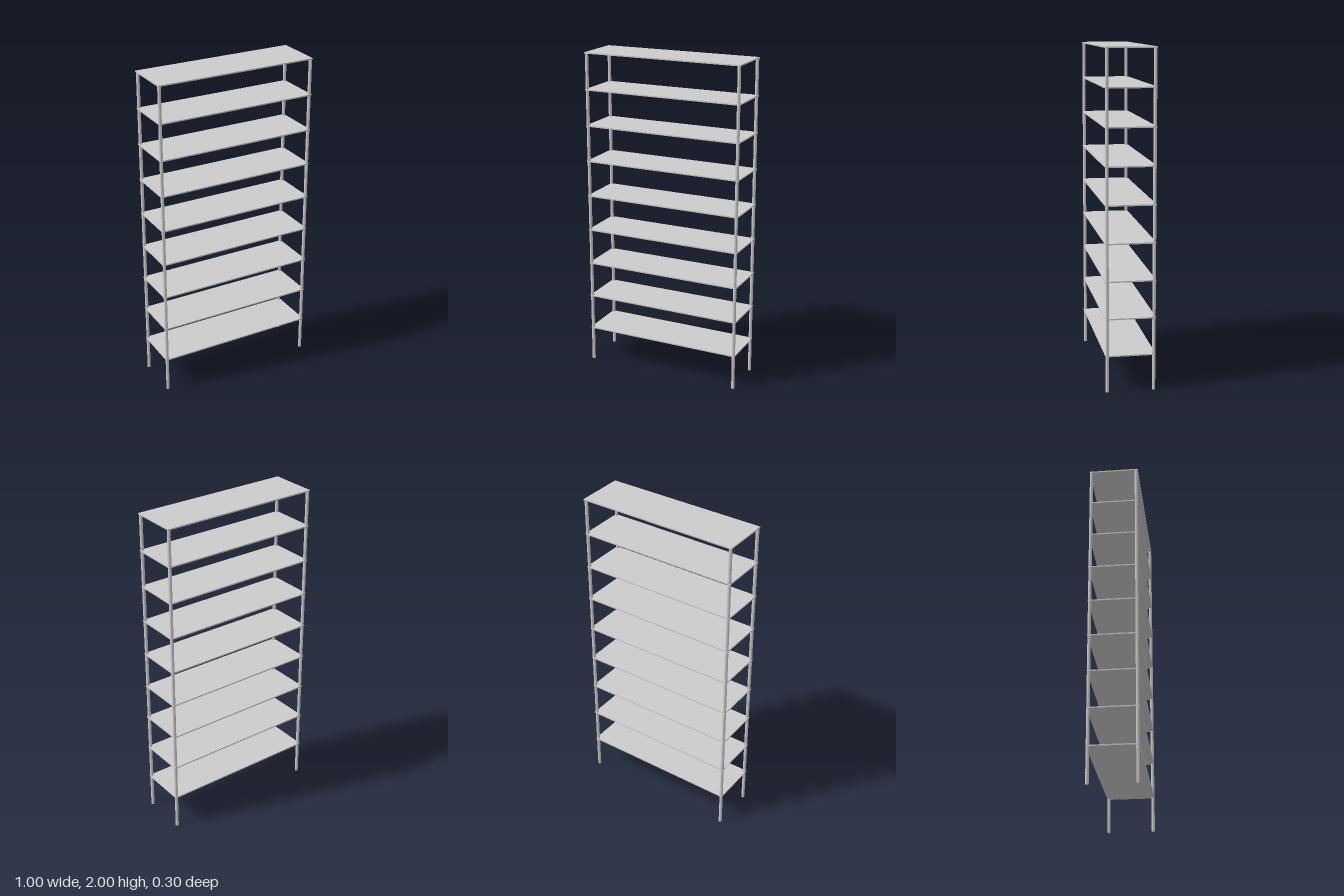
import * as THREE from 'three';

const WIDTH = 1.0, DEPTH = 0.296, HEIGHT = 2.0;
const POST_RADIUS = 0.01, SHELF_THICKNESS = 0.008, SHELF_COUNT = 9;

export function createModel() {
  const group = new THREE.Group();
  group.name = 'shelvingUnit';
  const material = new THREE.MeshStandardMaterial({ color: 0xcccccc });

  // Evenly spaced thin shelves, the topmost flush with the post tops
  const shelfGeometry = new THREE.BoxGeometry(WIDTH, SHELF_THICKNESS, DEPTH);
  for (let i = 1; i <= SHELF_COUNT; i++) {
    const shelf = new THREE.Mesh(shelfGeometry, material);
    shelf.name = `shelf${i}`;
    shelf.position.y = (HEIGHT * i) / SHELF_COUNT - SHELF_THICKNESS / 2;
    group.add(shelf);
  }

  // Round corner posts, set just inside the shelf edges and ending under the top shelf
  const postHeight = HEIGHT - SHELF_THICKNESS;
  const postGeometry = new THREE.CylinderGeometry(POST_RADIUS, POST_RADIUS, postHeight, 24);
  for (const [side, sx] of [['Left', 1], ['Right', -1]]) {
    for (const [end, sz] of [['front', 1], ['back', -1]]) {
      const post = new THREE.Mesh(postGeometry, material);
      post.name = `${end}${side}Post`;
      post.position.set(sx * (WIDTH / 2 - POST_RADIUS), postHeight / 2, sz * (DEPTH / 2 - POST_RADIUS));
      group.add(post);
    }
  }

  return group;
}
